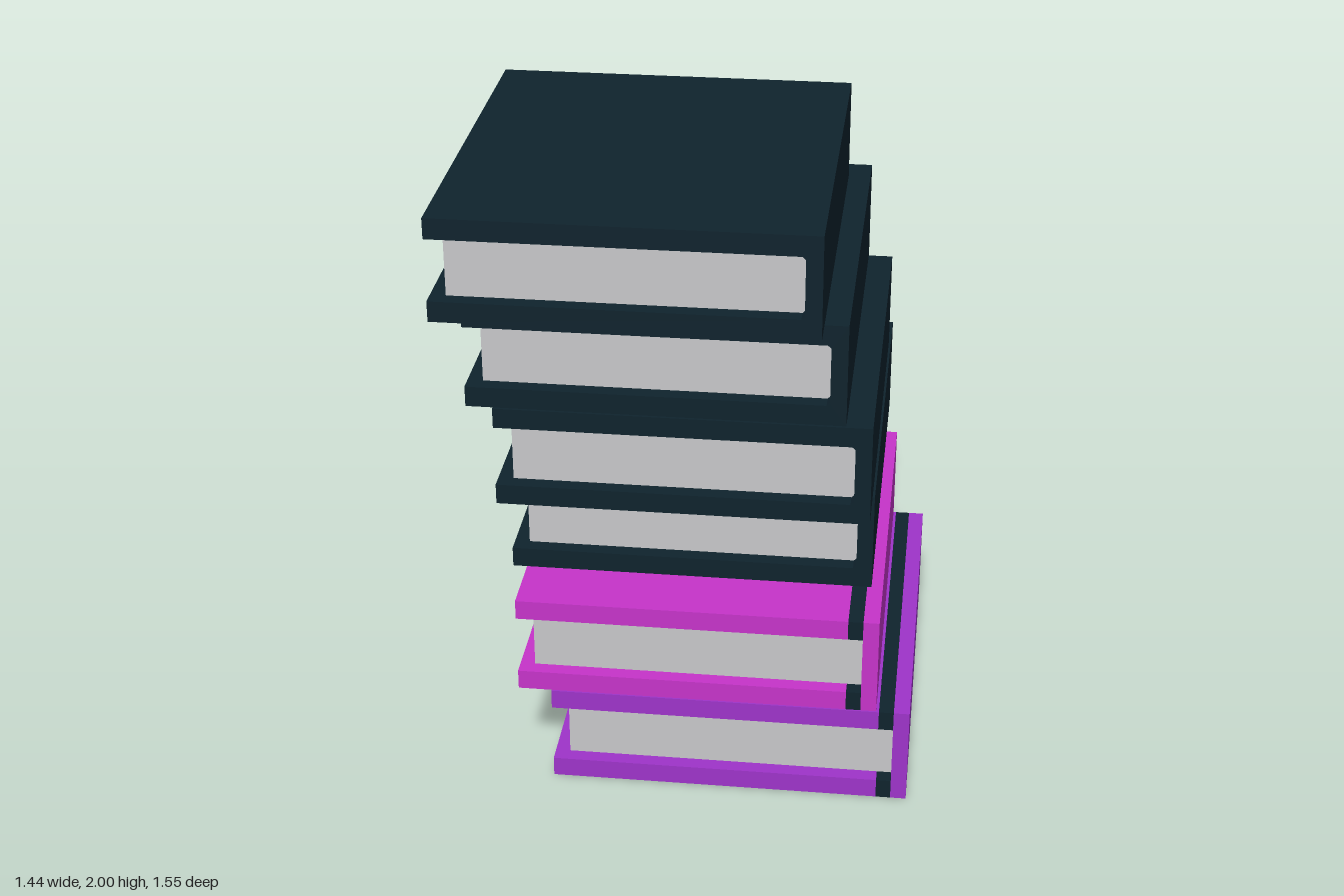
import * as THREE from 'three';

const material = (name, color) => {
  const m = new THREE.MeshStandardMaterial({ color });
  m.name = name;
  return m;
};

const BOARD = 0.065;  // cover board thickness
const SPINE = 0.05;   // spine thickness
const INSET = 0.047;  // how far the pages sit back from the cover edges

export function createModel() {
  const dark = material('dark navy', 0x0f232d);
  const magenta = material('magenta', 0xc634ca);
  const purple = material('purple', 0x9e34ca);
  const paper = material('paper grey', 0xc7c8ca);

  // box given by its minimum and maximum on each axis
  function slab(name, mat, x0, x1, y0, y1, z0, z1) {
    const mesh = new THREE.Mesh(new THREE.BoxGeometry(x1 - x0, y1 - y0, z1 - z0), mat);
    mesh.position.set((x0 + x1) / 2, (y0 + y1) / 2, (z0 + z1) / 2);
    mesh.name = name;
    return mesh;
  }

  // one-piece wraparound cover with small bevels inside the spine
  function wrapCover(mat, x0, x1, y0, y1, z0, z1) {
    const xi = x1 - SPINE, lo = y0 + BOARD, hi = y1 - BOARD, c = 0.01;
    const shape = new THREE.Shape([
      [x0, y0], [x1, y0], [x1, y1], [x0, y1], [x0, hi],
      [xi - c, hi], [xi, hi - c], [xi, lo + c], [xi - c, lo], [x0, lo],
    ].map(([x, y]) => new THREE.Vector2(x, y)));
    const geo = new THREE.ExtrudeGeometry(shape, { depth: z1 - z0, bevelEnabled: false });
    const mesh = new THREE.Mesh(geo, mat);
    mesh.position.z = z0;
    mesh.name = 'cover';
    return mesh;
  }

  function book(name, mat, hinged, x0, x1, y0, y1, z0, z1) {
    const g = new THREE.Group();
    g.name = name;
    const xi = x1 - SPINE;
    if (hinged) {
      // separate boards and spine, joined by dark hinge strips
      const xh = xi - 0.047;
      g.add(slab('spine', mat, xi, x1, y0, y1, z0, z1));
      for (const [side, a, b] of [['lower', y0, y0 + BOARD], ['upper', y1 - BOARD, y1]]) {
        g.add(slab(side + 'Board', mat, x0, xh, a, b, z0, z1));
        g.add(slab(side + 'Hinge', dark, xh, xi, a, b, z0, z1));
      }
    } else {
      g.add(wrapCover(mat, x0, x1, y0, y1, z0, z1));
    }
    g.add(slab('pages', paper, x0 + INSET, xi, y0 + BOARD, y1 - BOARD, z0 + INSET, z1 - INSET));
    return g;
  }

  // stack from bottom to top: x, y and z ranges
  const model = new THREE.Group();
  model.name = 'bookStack';
  model.add(
    book('purpleBook', purple, true, -0.424, 0.72, 0, 0.328, -0.607, 0.655),
    book('magentaBook', magenta, true, -0.53, 0.614, 0.329, 0.656, -0.609, 0.651),
    book('darkBook1', dark, false, -0.565, 0.579, 0.685, 1.01, -0.775, 0.486),
    book('darkBook2', dark, false, -0.572, 0.572, 1.013, 1.34, -0.602, 0.659),
    book('darkBook3', dark, false, -0.652, 0.492, 1.346, 1.673, -0.599, 0.662),
    book('darkBook4', dark, false, -0.724, 0.42, 1.675, 2, -0.487, 0.774),
  );
  return model;
}
